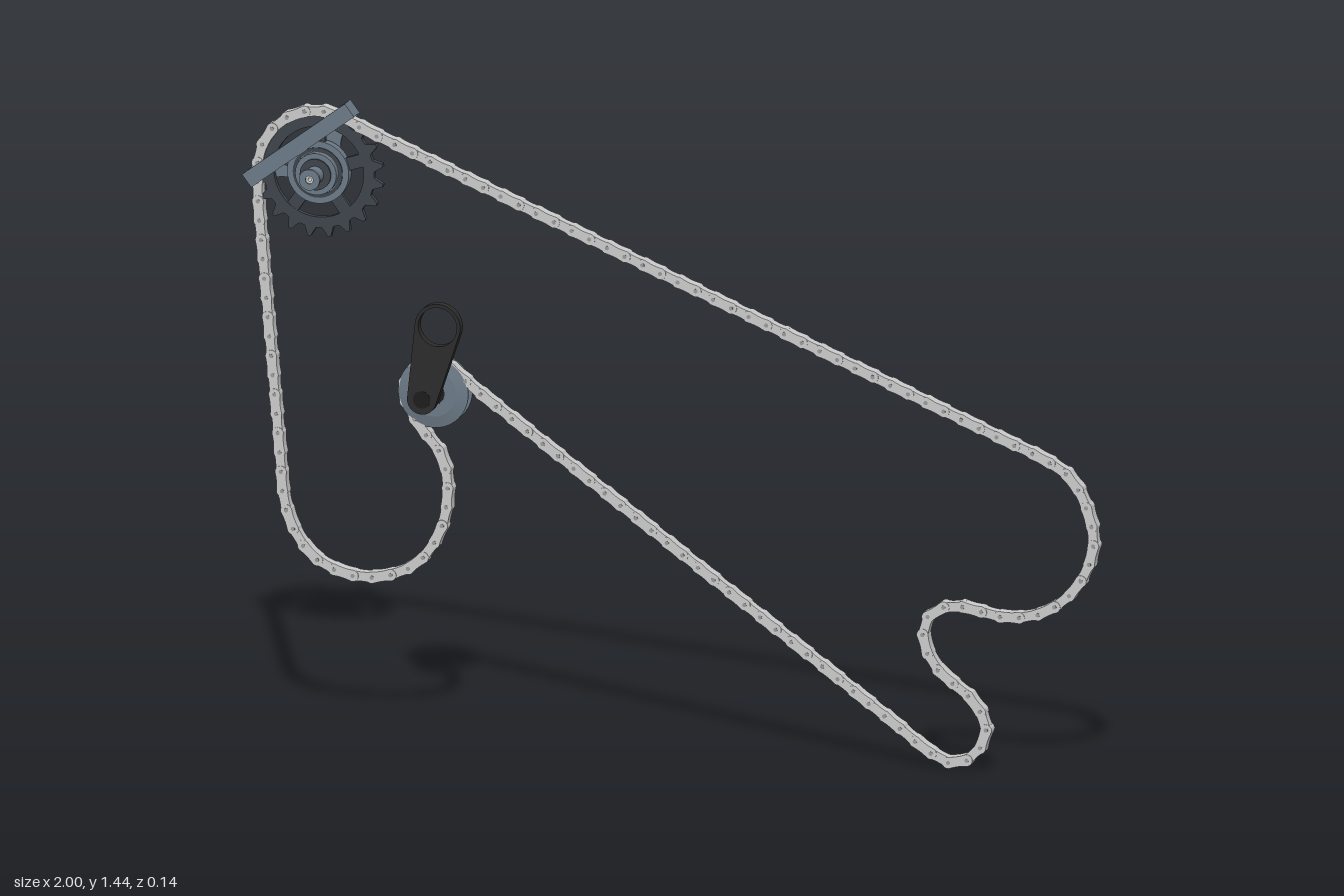
import * as THREE from 'three';

const CHAIN_Z = -0.035;
const SPROCKET = [-0.824, 1.285];
const PULLEY = [-0.555, 0.794];

const paint = (color) => new THREE.MeshStandardMaterial({ color });
const chainMat = paint(0xcccccc);
const pinMat = paint(0x99999b);
const slate = paint(0x6c7a87);
const steel = paint(0x3d444b);
const charcoal = paint(0x2c2c2c);
const black = paint(0x1c1c1c);

function add(parent, name, geometry, material, x = 0, y = 0, z = 0) {
  const mesh = new THREE.Mesh(geometry, material);
  mesh.name = name;
  mesh.position.set(x, y, z);
  parent.add(mesh);
  return mesh;
}

// Extrudes a shape from z0 to z1
function slab(shape, z0, z1, curveSegments = 16) {
  const g = new THREE.ExtrudeGeometry(shape, { depth: z1 - z0, bevelEnabled: false, curveSegments });
  return g.translate(0, 0, z0);
}

// Flat ring or disc about the z axis
function disc(r0, r1, z0, z1) {
  const s = new THREE.Shape().absarc(0, 0, r1, 0, Math.PI * 2);
  if (r0 > 0) s.holes.push(new THREE.Path().absarc(0, 0, r0, 0, Math.PI * 2, true));
  return slab(s, z0, z1, 24);
}

// Closed route of the chain: a few bends joined by straight runs
function chainRoute() {
  const pts = [];
  const run = (x0, y0, x1, y1, n) => {
    for (let i = 0; i <= n; i++) pts.push([x0 + (x1 - x0) * i / n, y0 + (y1 - y0) * i / n]);
  };
  const arc = ([cx, cy], r, from, to, n) => {
    for (let i = 0; i <= n; i++) {
      const a = THREE.MathUtils.degToRad(from + (to - from) * i / n);
      pts.push([cx + r * Math.cos(a), cy + r * Math.sin(a)]);
    }
  };
  arc(SPROCKET, 0.142, 175, 67, 8);
  run(-0.71, 1.388, 0.875, 0.735, 16);
  pts.push([0.93, 0.70], [0.97, 0.63], [0.985, 0.54], [0.945, 0.445], [0.87, 0.383], [0.785, 0.365],
    [0.66, 0.383], [0.605, 0.362], [0.587, 0.305], [0.62, 0.235], [0.705, 0.165], [0.735, 0.105],
    [0.715, 0.05], [0.664, 0.018]);
  run(0.61, 0.036, -0.46, 0.808, 12);
  arc(PULLEY, 0.07, 55, 200, 6);
  pts.push([-0.59, 0.715], [-0.535, 0.645], [-0.522, 0.555], [-0.545, 0.46], [-0.605, 0.386],
    [-0.715, 0.353], [-0.825, 0.385], [-0.88, 0.45]);
  run(-0.905, 0.525, -0.964, 1.2, 8);
  return new THREE.CatmullRomCurve3(pts.map(([x, y]) => new THREE.Vector3(x, y, 0)), true, 'centripetal');
}

// Waisted link outline between two pins, pitch along x
function linkShape(pitch, r) {
  const s = new THREE.Shape();
  const h = pitch / 2, w = r * 0.75;
  s.absarc(h, 0, r, -Math.PI * 0.6, Math.PI * 0.6);
  s.quadraticCurveTo(0, w, -h + r * Math.cos(Math.PI * 0.4), r * 0.95);
  s.absarc(-h, 0, r, Math.PI * 0.4, Math.PI * 1.6);
  s.quadraticCurveTo(0, -w, h + r * Math.cos(Math.PI * 0.6), -r * 0.95);
  return s;
}

// Alternating wide and narrow solid links with a pin at every joint
function buildChain() {
  const chain = new THREE.Group();
  chain.name = 'chain';
  chain.position.z = CHAIN_Z;
  const curve = chainRoute();
  curve.arcLengthDivisions = 1500;
  const count = 2 * Math.round(curve.getLength() / 0.045 / 2);
  const pins = curve.getSpacedPoints(count);
  const pitch = curve.getLength() / count;
  const outer = slab(linkShape(pitch, 0.0135), -0.0135, 0.0135, 5);
  const inner = slab(linkShape(pitch, 0.0125), -0.0115, 0.0115, 5);
  const pin = new THREE.CylinderGeometry(0.005, 0.005, 0.0285, 8).rotateX(Math.PI / 2);
  for (let i = 0; i < count; i++) {
    const a = pins[i], b = pins[i + 1];
    const link = new THREE.Group();
    link.name = i % 2 ? 'outerLink' : 'innerLink';
    link.position.set((a.x + b.x) / 2, (a.y + b.y) / 2, 0);
    link.rotation.z = Math.atan2(b.y - a.y, b.x - a.x);
    add(link, 'linkBody', i % 2 ? outer : inner, chainMat);
    add(link, 'pin', pin, pinMat, -pitch / 2);
    chain.add(link);
  }
  return chain;
}

function buildSprocket() {
  const g = new THREE.Group();
  g.name = 'sprocket';
  g.position.set(...SPROCKET, 0);
  // Toothed ring
  const teeth = 20, ring = new THREE.Shape();
  for (let i = 0; i < teeth; i++) {
    [[0, 0.129], [0.2, 0.13], [0.45, 0.151], [0.6, 0.151], [0.85, 0.13]].forEach(([f, r], k) => {
      const a = (i + f) / teeth * Math.PI * 2;
      ring[i + k ? 'lineTo' : 'moveTo'](r * Math.cos(a), r * Math.sin(a));
    });
  }
  ring.closePath();
  ring.holes.push(new THREE.Path().absarc(0, 0, 0.105, 0, Math.PI * 2, true));
  add(g, 'toothedRing', slab(ring, -0.042, -0.028, 24), steel);
  // Spider arms
  const arm = new THREE.BoxGeometry(0.055, 0.03, 0.012).translate(0.085, 0, -0.035);
  for (let i = 0; i < 5; i++) {
    add(g, 'spiderArm', arm, steel).rotation.z = Math.PI / 2 + i * Math.PI * 0.4;
  }
  // Stepped hub and hollow shaft with a lip
  add(g, 'hubFlange', disc(0.01, 0.072, -0.045, -0.022), slate);
  add(g, 'hubRing', disc(0.05, 0.058, -0.022, -0.019), steel);
  add(g, 'hubBody', disc(0.01, 0.048, -0.055, -0.004), slate);
  add(g, 'hubStep', disc(0.01, 0.036, -0.004, 0.001), steel);
  add(g, 'shaft', disc(0.009, 0.02, 0, 0.044), slate);
  add(g, 'shaftLip', disc(0.009, 0.024, 0.042, 0.05), slate);
  add(g, 'shaftCore', disc(0.004, 0.01, -0.06, 0.046), chainMat);
  return g;
}

// Chain guide: a bar in front, a bulged plate behind, joined at both ends
function buildGuide() {
  const g = new THREE.Group();
  g.name = 'chainGuide';
  g.position.set(SPROCKET[0] - 0.045, SPROCKET[1] + 0.06, 0);
  g.rotation.z = Math.atan2(0.6, 0.8);
  const s = new THREE.Shape();
  s.moveTo(-0.15, 0.018).lineTo(-0.15, -0.02).lineTo(-0.12, -0.024);
  s.quadraticCurveTo(-0.07, -0.04, -0.06, -0.075);
  s.absarc(0, -0.075, 0.06, Math.PI, Math.PI * 2);
  s.quadraticCurveTo(0.07, -0.04, 0.12, -0.024);
  s.lineTo(0.15, -0.02).lineTo(0.15, 0.018).lineTo(0.12, 0.018);
  s.quadraticCurveTo(0, -0.075, -0.12, 0.018);
  s.holes.push(new THREE.Path().absarc(0, -0.075, 0.012, 0, Math.PI * 2, true));
  add(g, 'backPlate', slab(s, -0.062, -0.052), slate);
  add(g, 'frontBar', new THREE.BoxGeometry(0.3, 0.036, 0.007), slate, 0, 0, -0.02);
  for (const side of [-1, 1]) {
    add(g, 'endSpacer', new THREE.BoxGeometry(0.01, 0.036, 0.044), slate, side * 0.145, 0, -0.039);
  }
  return g;
}

// Grooved pulley; flange faces taper towards the rim
function buildPulley() {
  const g = new THREE.Group();
  g.name = 'pulley';
  g.position.set(...PULLEY, 0);
  const profile = [[0.028, -0.003], [0.082, -0.003], [0.082, -0.003], [0.082, 0], [0.082, 0],
    [0.055, 0.006], [0.055, 0.006], [0.028, 0.006]].map(([r, z]) => new THREE.Vector2(r, z));
  const flange = new THREE.LatheGeometry(profile, 40).rotateX(Math.PI / 2);
  add(g, 'frontFlange', flange, slate, 0, 0, -0.022);
  add(g, 'backFlange', flange, slate, 0, 0, -0.06).rotation.y = Math.PI;
  add(g, 'grooveCore', disc(0.02, 0.056, -0.057, -0.023), slate);
  add(g, 'bearing', disc(0.012, 0.03, -0.066, -0.016), black);
  add(g, 'axle', disc(0, 0.013, -0.062, -0.02), steel);
  return g;
}

// Tapered arm with a large eye at the top
function buildLever() {
  const eye = [0.037, 0.171], R = 0.053, r = 0.034;
  const len = Math.hypot(...eye);
  const k = Math.asin((R - r) / len);
  const s = new THREE.Shape();
  s.absarc(0, len, R, -k, Math.PI + k);
  s.absarc(0, 0, r, Math.PI + k, Math.PI * 2 - k);
  s.closePath();
  s.holes.push(new THREE.Path().absarc(0, len, 0.045, 0, Math.PI * 2, true));
  const g = new THREE.Group();
  g.name = 'lever';
  g.position.set(-0.555, 0.8, 0);
  g.rotation.z = Math.atan2(-eye[0], eye[1]);
  add(g, 'leverArm', slab(s, 0.051, 0.073, 20), charcoal);
  add(g, 'leverBoss', disc(0, 0.02, 0.05, 0.074), black);
  return g;
}

export function createModel() {
  const model = new THREE.Group();
  model.name = 'chainDrive';
  model.add(buildChain(), buildSprocket(), buildGuide(), buildPulley(), buildLever());
  return model;
}
